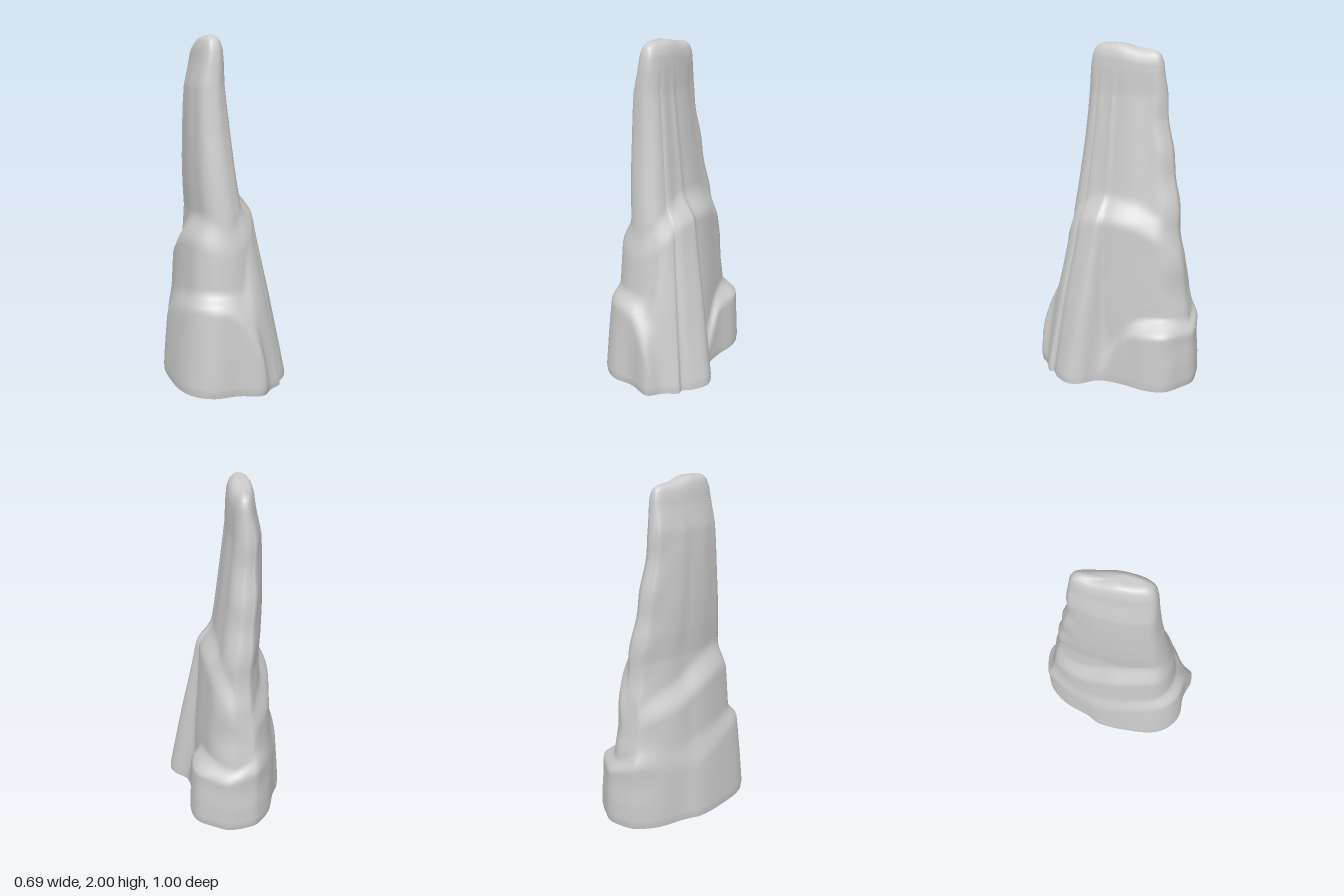
import * as THREE from 'three';

const { smoothstep, lerp, clamp } = THREE.MathUtils;
const SEGMENTS = 138;

// Footprint stations, clockwise from the back: x, z, skirt ledge height, ledge slope length, shoulder height
const STATIONS = [
  [0.01, -0.5, 0.41, 0.08, 0.75], [0.1, -0.46, 0.41, 0.08, 0.9], [0.2, -0.39, 0.42, 0.08, 1.0],
  [0.235, -0.27, 0.43, 0.1, 1.05], [0.22, -0.12, 0.41, 0.12, 1.1], [0.235, 0.03, 0.3, 0.3, 1.12],
  [0.32, 0.12, 1.05, 1.05, 1.12], [0.345, 0.2, 1.15, 1.15, 1.12], [0.3, 0.29, 1.1, 1.1, 1.1],
  [0.252, 0.335, 0.95, 0.95, 1.08], [0.25, 0.375, 1.0, 1.0, 1.06], [0.17, 0.435, 0.85, 0.85, 1.0],
  [0.1, 0.5, 0.62, 0.4, 0.95], [-0.03, 0.465, 0.58, 0.14, 0.92], [-0.17, 0.465, 0.58, 0.1, 0.95],
  [-0.27, 0.405, 0.58, 0.1, 0.98], [-0.33, 0.29, 0.57, 0.12, 0.99], [-0.35, 0.1, 0.56, 0.16, 0.96],
  [-0.345, -0.07, 0.53, 0.2, 0.9], [-0.3, -0.18, 0.52, 0.2, 0.85], [-0.25, -0.34, 0.52, 0.15, 0.8],
  [-0.18, -0.44, 0.5, 0.12, 0.75], [-0.12, -0.48, 0.46, 0.1, 0.72],
];

// Inner blade limits: y, x min, x max, z min, z max
const BLADE = [
  [0, -0.24, 0.13, -0.46, 0.39], [0.5, -0.225, 0.115, -0.42, 0.36], [0.8, -0.21, 0.095, -0.385, 0.33],
  [1.0, -0.2, 0.085, -0.36, 0.31], [1.15, -0.21, 0.06, -0.34, 0.29], [1.3, -0.215, 0.04, -0.315, 0.27],
  [1.45, -0.215, 0.022, -0.285, 0.25], [1.6, -0.212, 0.004, -0.265, 0.235], [1.72, -0.205, -0.01, -0.25, 0.225],
  [1.86, -0.175, -0.015, -0.24, 0.213], [1.93, -0.165, -0.02, -0.232, 0.202], [1.97, -0.153, -0.034, -0.22, 0.185],
  [1.99, -0.138, -0.052, -0.2, 0.16], [2, -0.118, -0.07, -0.175, 0.135],
];

function bladeLimits(y) {
  let i = 0;
  while (i < BLADE.length - 2 && y > BLADE[i + 1][0]) i++;
  const a = BLADE[i], b = BLADE[i + 1];
  const t = (y - a[0]) / (b[0] - a[0]);
  return a.map((v, k) => lerp(v, b[k], t));
}

const closedCurve = (points) => new THREE.CatmullRomCurve3(points, true, 'catmullrom', 0.5);
const footprint = closedCurve(STATIONS.map(([x, z, h]) => new THREE.Vector3(x, h, z)));
const ledges = closedCurve(STATIONS.map(([, , , w, h2]) => new THREE.Vector3(w, h2, 0)));

// Surface point: blade, widened below the shoulder and again below the skirt ledge
function rockPoint(t, y) {
  const base = footprint.getPoint(t);
  const ledge = ledges.getPoint(t);
  const [, x0, x1, z0, z1] = bladeLimits(y);

  // direction on a rounded rectangle
  let ux = (base.x + 0.02) / 0.3, uz = base.z / 0.48;
  const p = 2.8;
  const n = Math.pow(Math.abs(ux) ** p + Math.abs(uz) ** p, 1 / p);
  ux /= n;
  uz /= n;

  // short slopes make rounded ledges, long slopes make ribs that flare toward the foot
  const shoulder = 1 - smoothstep(y, ledge.y - 0.15, ledge.y + 0.02);
  const w = Math.max(ledge.x, 0.07);
  const ramp = clamp((base.y - y) / w, 0, 1);
  const rounded = ramp * ramp * (3 - 2 * ramp) * (1 - y * (0.5 + 0.7 * Math.max(-ux, 0)));
  const k = lerp(rounded, ramp ** 1.35, smoothstep(w, 0.3, 0.8));

  const hx = (x1 - x0) / 2 + 0.06 * shoulder;
  const hz = (z1 - z0) / 2 + 0.015 * shoulder;
  const narrowing = 1 + 0.22 * Math.min(uz, 0);
  let x = lerp((x0 + x1) / 2 + hx * ux * narrowing, base.x, k);
  let z = lerp((z0 + z1) / 2 + hz * uz, base.z, k);

  // faint grooves, and chips along the back edge, fading at the tip and the foot
  const fade = smoothstep(y, 0.05, 0.4) * (1 - smoothstep(y, 1.6, 1.95));
  const grooves = 0.0025 * Math.sin(t * Math.PI * 22 + y);
  const chips = 0.006 * Math.sin(y * 19) * smoothstep(-uz, 0.6, 1);
  const foot = 1 - 0.015 * (1 - smoothstep(y, 0, 0.035));
  x = (x + fade * (grooves + chips) * ux) * foot;
  z = (z + fade * (grooves + chips) * uz) * foot;

  // the crest dips toward the back
  const dip = 0.035 * smoothstep(-z, -0.04, 0.14) * smoothstep(y, 1.75, 2);
  return [x, y - dip, z];
}

function loftRock() {
  const heights = [0, 0];
  for (let y = 0.012; y < 1.9; y += 0.0225) heights.push(y);
  heights.push(1.9, 1.92, 1.94, 1.955, 1.97, 1.98, 1.99, 2);

  const positions = [], index = [];
  const addRing = (y) => {
    for (let j = 0; j < SEGMENTS; j++) positions.push(...rockPoint(j / SEGMENTS, y));
  };
  heights.forEach(addRing);

  for (let i = 1; i < heights.length - 1; i++) {
    for (let j = 0; j < SEGMENTS; j++) {
      const k = (j + 1) % SEGMENTS;
      const a = i * SEGMENTS + j, b = i * SEGMENTS + k;
      const c = a + SEGMENTS, d = b + SEGMENTS;
      index.push(a, c, b, b, c, d);
    }
  }

  // underside and crest caps; the underside has its own ring for a crisp edge
  const bottom = positions.length / 3;
  positions.push(0, 0, 0);
  const last = (heights.length - 1) * SEGMENTS;
  const crest = bottom + 1;
  positions.push(-0.094, 1.988, -0.02);
  for (let j = 0; j < SEGMENTS; j++) {
    const k = (j + 1) % SEGMENTS;
    index.push(bottom, j, k);
    index.push(crest, last + k, last + j);
  }

  const geometry = new THREE.BufferGeometry();
  geometry.setAttribute('position', new THREE.Float32BufferAttribute(positions, 3));
  geometry.setIndex(index);
  geometry.computeVertexNormals();
  return geometry;
}

export function createModel() {
  const group = new THREE.Group();
  group.name = 'rockSpire';
  const rock = new THREE.Mesh(loftRock(), new THREE.MeshStandardMaterial({ color: 0xcccccc }));
  rock.name = 'spire';
  group.add(rock);
  return group;
}
